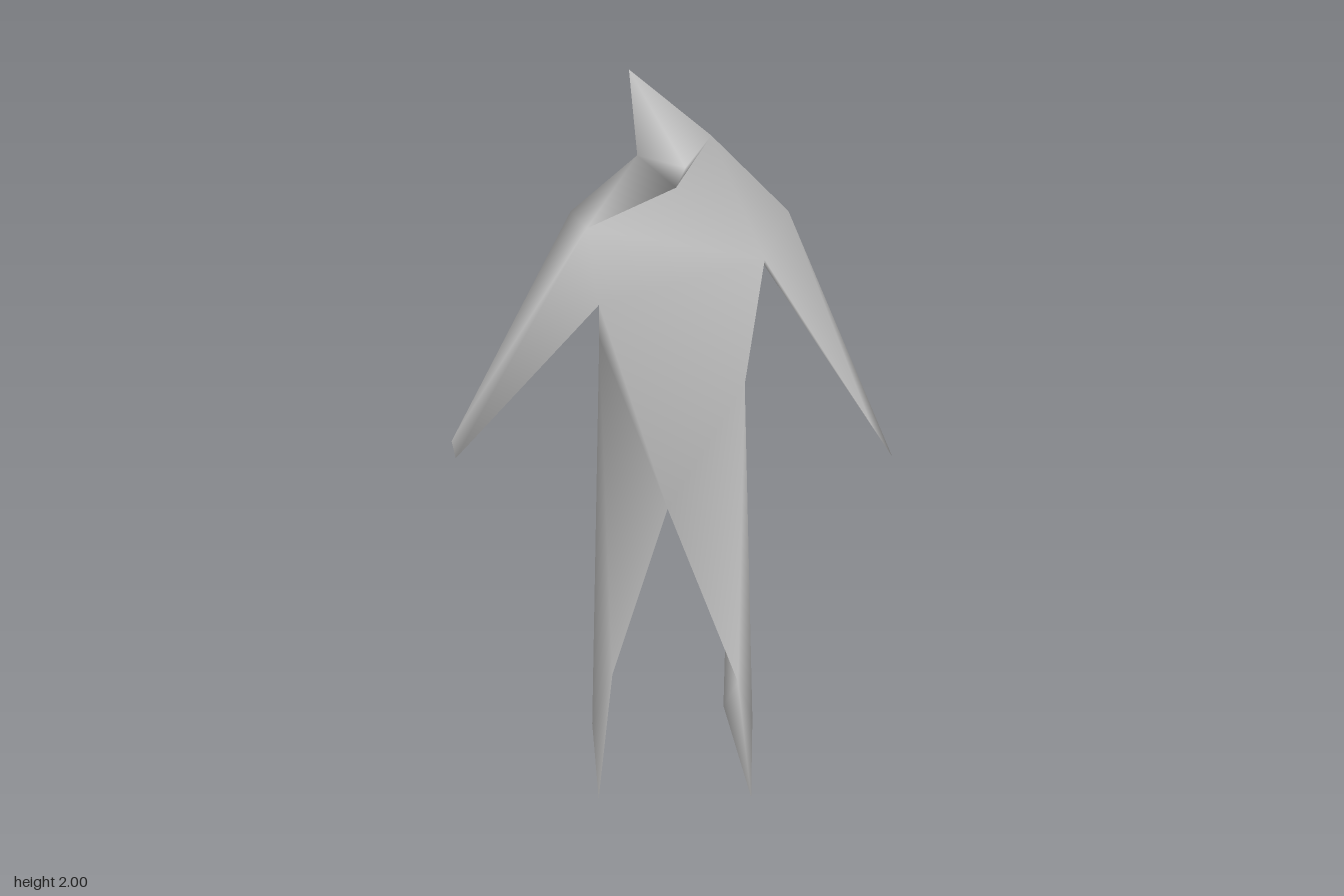
import * as THREE from 'three';

// Landmarks of the figure (x, y, z)
const points = {
  // head
  crown: [-0.10, 2.0, 0], face: [0.02, 1.83, 0.13], chin: [0, 1.77, 0.1],
  nape: [0.08, 1.83, -0.045], napeR: [-0.085, 1.79, -0.03],
  // shoulders and chest
  collarR: [-0.2, 1.64, 0.03], chestR: [-0.175, 1.47, 0.075], chestL: [0.2, 1.58, 0.07],
  shoulderL: [0.265, 1.61, -0.12], bladeL: [0.165, 1.55, -0.17], shoulderR: [-0.245, 1.6, -0.145],
  armpitL: [0.19, 1.51, -0.11], armpitR: [-0.18, 1.5, -0.06],
  // waist and hips
  waistL: [0.165, 1.23, 0.03], waistR: [-0.18, 1.34, 0], crotch: [-0.02, 0.91, 0.09], seat: [-0.115, 1.12, -0.105],
  // hands
  wristL: [0.48, 1.09, -0.005], handL: [0.545, 0.97, -0.045],
  wristR: [-0.55, 1.05, -0.005], handR: [-0.55, 0.97, -0.05], backHandR: [-0.52, 1.06, -0.06],
  // left leg
  thighL: [0.12, 0.81, -0.05], calfL: [0.135, 0.37, -0.04], innerFootL: [0.135, 0.13, -0.06],
  ankleL: [0.17, 0.27, 0], heelL: [0.22, 0.045, -0.1], toeL: [0.205, 0, 0.165],
  // right leg
  calfR: [-0.16, 0.5, -0.105], innerFootR: [-0.2, 0.1, -0.06],
  ankleR: [-0.17, 0.3, 0], heelR: [-0.235, 0.03, -0.1], toeR: [-0.21, 0, 0.165],
};
const names = Object.keys(points);

// Joins cross-sections from top to bottom; each runs counter-clockwise seen from
// above, and a repeated landmark closes the quad down to a triangle.
function loft(sections, capped = false) {
  const rings = sections.map((s) => s.split(' ').map((n) => names.indexOf(n)));
  const index = [];
  const tri = (a, b, c) => {
    if (a !== b && b !== c && c !== a) index.push(a, b, c);
  };
  for (let r = 0; r < rings.length - 1; r++) {
    const top = rings[r], low = rings[r + 1];
    for (let i = 0; i < top.length; i++) {
      const j = (i + 1) % top.length;
      tri(top[i], low[i], low[j]);
      tri(top[i], low[j], top[j]);
    }
  }
  if (capped) {
    const end = [...new Set(rings[rings.length - 1])];
    for (let i = 1; i < end.length - 1; i++) tri(end[0], end[i + 1], end[i]);
  }
  return index;
}

export function createModel() {
  const parts = {
    head: loft(['crown crown crown', 'face nape napeR', 'chin nape napeR', 'collarR nape napeR']),
    shoulders: loft([
      'collarR nape nape nape napeR',
      'collarR chestL shoulderL bladeL shoulderR',
    ]),
    // the first section adds the upper chest triangle
    torso: [
      ...['collarR', 'chestR', 'chestL'].map((n) => names.indexOf(n)),
      ...loft([
        'chestR chestL armpitL bladeL shoulderR armpitR',
        'chestR chestL armpitL seat seat armpitR',
        'chestR waistL seat seat seat waistR',
        'crotch waistL seat seat seat waistR',
      ]),
    ],
    leftArm: loft(['chestL shoulderL bladeL armpitL', 'wristL wristL handL handL']),
    rightArm: loft(['chestR armpitR shoulderR collarR', 'handR handR backHandR wristR'], true),
    leftLeg: loft([
      'crotch waistL seat', 'crotch waistL thighL', 'crotch waistL calfL',
      'ankleL waistL calfL', 'ankleL heelL calfL',
    ]),
    leftFoot: loft(['ankleL heelL calfL', 'ankleL heelL innerFootL', 'toeL heelL innerFootL'], true),
    rightLeg: loft([
      'crotch seat waistR', 'crotch calfR waistR', 'ankleR calfR waistR', 'ankleR calfR heelR',
    ]),
    rightFoot: loft(['ankleR calfR heelR', 'ankleR innerFootR heelR', 'toeR innerFootR heelR'], true),
  };

  // Normals come from the whole body, so shading runs smoothly across the parts
  const body = new THREE.BufferGeometry();
  body.setAttribute('position', new THREE.Float32BufferAttribute(names.flatMap((n) => points[n]), 3));
  body.setIndex(Object.values(parts).flat());
  body.computeVertexNormals();

  const material = new THREE.MeshStandardMaterial({ color: 0xcccccc });
  const model = new THREE.Group();
  model.name = 'standingFigure';
  for (const [name, index] of Object.entries(parts)) {
    const geometry = new THREE.BufferGeometry();
    geometry.setAttribute('position', body.attributes.position.clone());
    geometry.setAttribute('normal', body.attributes.normal.clone());
    geometry.setIndex(index);
    const mesh = new THREE.Mesh(geometry, material);
    mesh.name = name;
    model.add(mesh);
  }
  return model;
}
